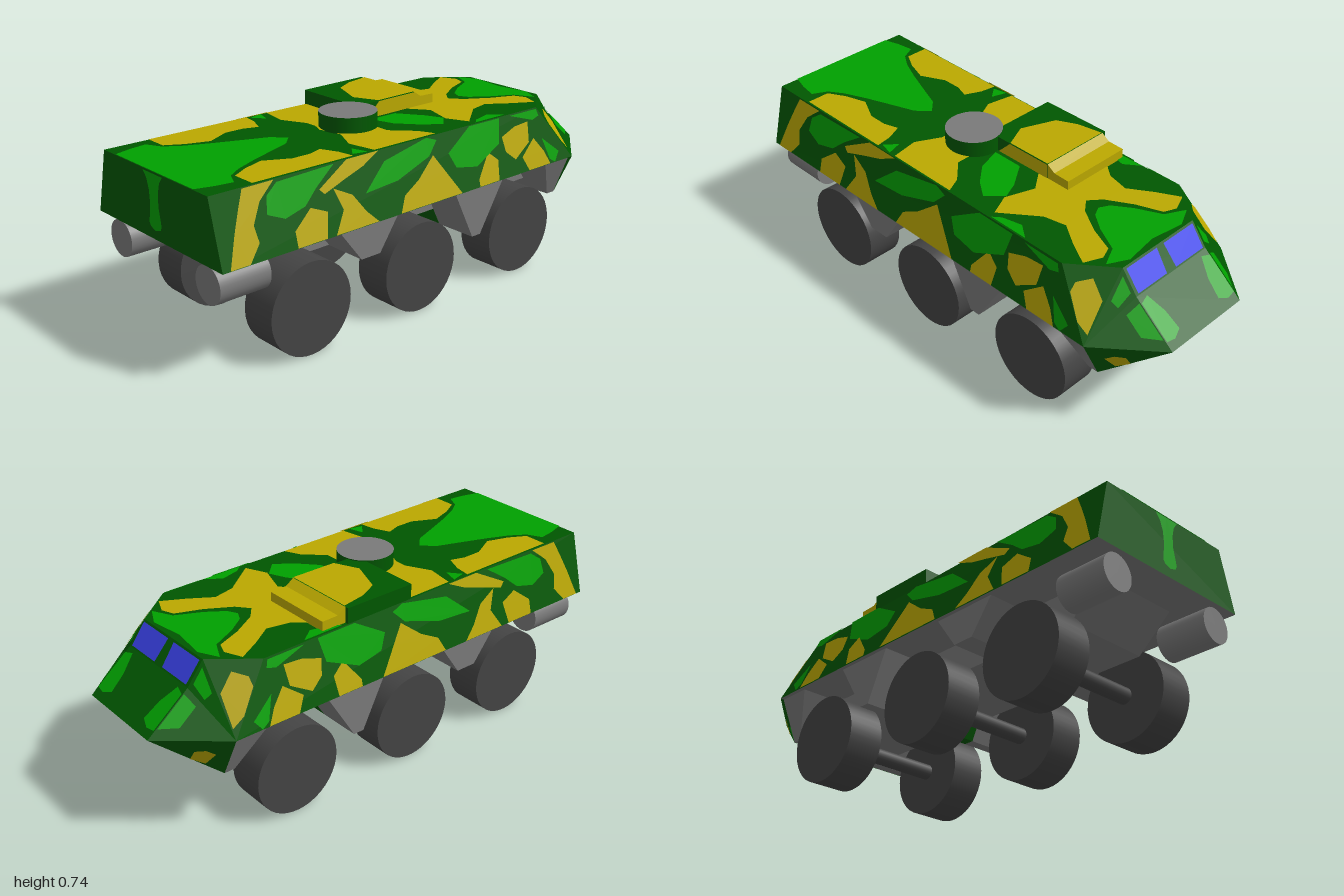
import * as THREE from 'three';

const mat = (name, color, side = THREE.FrontSide) => {
  const m = new THREE.MeshStandardMaterial({ color, side });
  m.name = name;
  return m;
};

export function createModel() {
  const model = new THREE.Group();
  model.name = 'armouredCarrier';
  const darkGreen = mat('dark green', 0x005700, THREE.DoubleSide);
  const brightGreen = mat('bright green', 0x00a000, THREE.DoubleSide);
  const sand = mat('sand yellow', 0xbba800, THREE.DoubleSide);
  const grey = mat('grey metal', 0x7a7a7a, THREE.DoubleSide);
  const rubber = mat('tyre', 0x444444);
  const glass = mat('blue glass', 0x3c44f0, THREE.DoubleSide);

  const add = (name, geo, material, parent = model) => {
    const mesh = new THREE.Mesh(geo, material);
    mesh.name = name;
    parent.add(mesh);
    return mesh;
  };
  const V = (p) => new THREE.Vector3(...p);
  const flip = ([x, y, z]) => [-x, y, z];

  // Flat-faced surface from polygons, each split as a fan
  const faces = (polys) => {
    const pos = [];
    for (const p of polys)
      for (let i = 1; i < p.length - 1; i++) pos.push(...p[0], ...p[i], ...p[i + 1]);
    const g = new THREE.BufferGeometry();
    g.setAttribute('position', new THREE.Float32BufferAttribute(pos, 3));
    g.computeVertexNormals();
    return g;
  };
  // A polygon and its mirror image
  const both = (p) => [p, p.map(flip).reverse()];

  // Side profile of [z, y] points, extruded between two x positions
  const profile = (pts, x0, x1) => {
    const s = new THREE.Shape(pts.map(([z, y]) => new THREE.Vector2(z, y)));
    return new THREE.ExtrudeGeometry(s, { depth: x1 - x0, bevelEnabled: false })
      .rotateY(-Math.PI / 2).translate(x1, 0, 0);
  };

  // Key corners of the hull on the +x side
  const rearLow = [0.385, 0.44, 1], rearTop = [0.32, 0.69, 1];
  const shoulder = [0.32, 0.672, -0.6], brow = [0.19, 0.67, -0.76];
  const sill = [0.19, 0.582, -0.828], nose = [0.19, 0.44, -1];
  const cheek = [0.385, 0.44, -0.77], chin = [0.3, 0.262, -0.77];

  // Upper hull and nose
  add('hull', faces([
    [rearLow, rearTop, flip(rearTop), flip(rearLow)],
    [rearTop, shoulder, brow, flip(brow), flip(shoulder), flip(rearTop)],
    [brow, sill, flip(sill), flip(brow)],
    [sill, nose, flip(nose), flip(sill)],
    [nose, chin, flip(chin), flip(nose)],
    ...both([rearLow, cheek, shoulder, rearTop]),
    ...both([cheek, brow, shoulder]),
    ...both([cheek, sill, brow]),
    ...both([cheek, nose, sill]),
    ...both([cheek, chin, nose]),
  ]), darkGreen);
  add('hullUnderside', faces([[rearLow, flip(rearLow), flip(cheek), cheek]]), grey);

  // Belly
  add('belly', profile([[0.85, 0.438], [0.7, 0.31], [-0.75, 0.31], [-0.75, 0.438]], -0.19, 0.19), grey);

  // Wedges between the wheel wells
  const wedges = [
    [[0.49, 0.438], [0.39, 0.308], [0.3, 0.308], [0.21, 0.438]],
    [[-0.09, 0.438], [-0.19, 0.235], [-0.235, 0.235], [-0.36, 0.438]],
  ];
  for (const w of wedges) {
    add('wellWedge', profile(w, 0.19, 0.37), grey);
    add('wellWedge', profile(w, -0.37, -0.19), grey);
  }
  add('wedgeCentre', profile(wedges[1], -0.189, 0.189), darkGreen);

  // Front wedge narrowing down to the chin
  const wedgeFront = profile([[-0.62, 0.438], [-0.727, 0.262], [-0.769, 0.262], [-0.769, 0.438]], -0.37, 0.37);
  const wp = wedgeFront.attributes.position;
  for (let i = 0; i < wp.count; i++) if (wp.getY(i) < 0.3) wp.setX(i, Math.sign(wp.getX(i)) * 0.3);
  wedgeFront.computeVertexNormals();
  add('frontWedge', wedgeFront, grey);

  // Wheels and axles
  for (const z of [0.61, 0.075, -0.488]) {
    for (const s of [-1, 1])
      add('wheel', new THREE.CylinderGeometry(0.18, 0.18, 0.153, 40).rotateZ(Math.PI / 2).translate(s * 0.278, 0.18, z), rubber);
    add('axle', new THREE.CylinderGeometry(0.033, 0.033, 0.42, 20).rotateZ(Math.PI / 2).translate(0, 0.182, z), rubber);
  }

  // Exhaust drums
  for (const s of [-1, 1])
    add('exhaust', new THREE.CylinderGeometry(0.072, 0.072, 0.21, 32).rotateX(Math.PI / 2).translate(s * 0.273, 0.36, 0.88), grey);

  // Turret ring with a grey lid
  add('turret', new THREE.CylinderGeometry(0.113, 0.113, 0.07, 40).translate(0.022, 0.709, 0.148), [darkGreen, grey, grey]);

  // Raised roof hatch with a stepped front
  add('hatch', profile([[0.08, 0.67], [0.08, 0.74], [-0.225, 0.74], [-0.225, 0.67]], -0.32, 0), darkGreen);
  add('hatchStep', profile([[-0.225, 0.67], [-0.225, 0.74], [-0.26, 0.717], [-0.33, 0.715], [-0.33, 0.67]], -0.305, 0), sand);

  // Thin painted patch: the outline is projected on the plane of three corners.
  // axis 'x' reads [z, y], axis 'y' reads [x, z], axis 'z' reads [x, y].
  const patch = (name, material, axis, corners, outline, mirror = true) => {
    const plane = new THREE.Plane().setFromCoplanarPoints(...corners.map(V));
    if (plane.distanceToPoint(new THREE.Vector3(0, 0.5, 0)) > 0) plane.negate();
    const n = plane.normal;
    const g = new THREE.ShapeGeometry(new THREE.Shape(outline.map((p) => new THREE.Vector2(...p))));
    const pos = g.attributes.position;
    for (let i = 0; i < pos.count; i++) {
      const a = pos.getX(i), b = pos.getY(i);
      const p = axis === 'x' ? V([0, b, a]) : axis === 'y' ? V([a, 0, b]) : V([a, b, 0]);
      p[axis] = -(plane.constant + n.dot(p)) / n[axis];
      p.addScaledVector(n, 0.003);
      pos.setXYZ(i, p.x, p.y, p.z);
    }
    g.computeVertexNormals();
    add(name, g, material);
    if (!mirror) return;
    const m = g.clone().scale(-1, 1, 1);
    m.setIndex([...m.index.array].reverse());
    m.computeVertexNormals();
    add(name, m, material);
  };

  // Camouflage on the sides
  const side = [rearLow, rearTop, cheek];
  const low = 0.442;
  for (const o of [
    [[0.87, 0.685], [0.74, 0.685], [0.81, 0.63], [0.85, 0.56], [0.84, 0.5], [0.89, low], [0.97, low], [0.93, 0.55], [0.9, 0.62]],
    [[0.56, 0.61], [0.42, 0.683], [0.27, 0.682], [0.35, 0.645], [0.44, 0.62], [0.54, 0.59]],
    [[0.69, 0.5], [0.61, 0.56], [0.54, 0.53], [0.56, low], [0.69, low]],
    [[0.5, 0.6], [0.42, 0.56], [0.37, 0.49], [0.32, low], [0.52, low], [0.47, 0.52]],
    [[0.18, 0.5], [0.1, 0.54], [0.01, 0.61], [-0.04, 0.54], [-0.11, low], [0.21, low]],
    [[-0.21, 0.47], [-0.28, 0.56], [-0.33, 0.52], [-0.32, low], [-0.21, low]],
    [[-0.37, 0.6], [-0.45, 0.625], [-0.53, 0.63], [-0.52, 0.55], [-0.43, 0.5], [-0.38, 0.54]],
    [[-0.47, 0.5], [-0.55, 0.56], [-0.6, 0.5], [-0.63, low], [-0.5, low]],
  ]) patch('sideSandPatch', sand, 'x', side, o);
  for (const o of [
    [[0.73, 0.675], [0.48, 0.68], [0.57, 0.62], [0.63, 0.57], [0.72, 0.55], [0.79, 0.58], [0.78, 0.64]],
    [[0.36, 0.55], [0.25, 0.64], [0.03, 0.678], [-0.02, 0.66], [0.03, 0.61], [0.2, 0.56]],
    [[-0.07, 0.6], [-0.2, 0.675], [-0.37, 0.673], [-0.35, 0.58], [-0.21, 0.52], [-0.1, 0.54]],
    [[-0.43, 0.67], [-0.59, 0.668], [-0.6, 0.64], [-0.56, 0.63]],
    [[-0.6, 0.55], [-0.69, 0.48], [-0.66, low], [-0.63, 0.46]],
  ]) patch('sideGreenPatch', brightGreen, 'x', side, o);

  // Camouflage on the roof
  const roof = [rearTop, flip(rearTop), brow];
  const roofPatch = (m, o, mirror) => patch('roofPatch', m, 'y', roof, o, mirror);
  roofPatch(brightGreen, [[0, 0.42], [0.05, 0.47], [0.08, 0.55], [0.13, 0.68], [0.17, 0.77], [0.21, 0.83], [0.27, 0.86], [0.26, 0.93], [0.24, 1], [0, 1]]);
  roofPatch(sand, [[0.18, 0.42], [0.25, 0.39], [0.315, 0.38], [0.315, 0.82], [0.22, 0.82], [0.18, 0.75], [0.15, 0.66], [0.2, 0.56], [0.2, 0.48]]);
  roofPatch(sand, [[0, 0.08], [0.315, 0.08], [0.315, 0.28], [0.2, 0.3], [0.1, 0.25], [0.05, 0.25], [0, 0.27]]);
  roofPatch(sand, [[0.315, -0.03], [0.25, 0], [0.15, 0.1], [0.315, 0.1]], false);
  roofPatch(brightGreen, [[0.02, -0.1], [0.12, -0.17], [0.19, -0.2], [0.25, -0.14], [0.2, -0.07], [0.12, 0], [0.02, 0.03]], false);
  roofPatch(brightGreen, [[0.315, 0.31], [0.25, 0.33], [0.3, 0.37]]);
  roofPatch(brightGreen, [[0.315, -0.42], [0.27, -0.36], [0.29, -0.28], [0.315, -0.25]]);
  roofPatch(sand, [[0, -0.42], [0.05, -0.46], [0.11, -0.56], [0.15, -0.66], [0.2, -0.68], [0.27, -0.65], [0.22, -0.56], [0.16, -0.47], [0.18, -0.38], [0.29, -0.24], [0.2, -0.2], [0.08, -0.24], [0, -0.18]]);
  roofPatch(brightGreen, [[0, -0.73], [0.14, -0.75], [0.22, -0.71], [0.14, -0.67], [0.09, -0.57], [0.04, -0.5], [0, -0.48]]);

  // Camouflage on the nose and rear plate
  patch('deckPatch', brightGreen, 'y', [sill, nose, flip(nose)], [[0.11, -0.96], [0.15, -0.975], [0.188, -0.97], [0.188, -0.85], [0.15, -0.84], [0.12, -0.9]]);
  patch('cheekPatch', brightGreen, 'y', [cheek, nose, sill], [[0.193, -0.96], [0.24, -0.9], [0.24, -0.83], [0.193, -0.845]]);
  patch('cheekPatch', brightGreen, 'y', [cheek, sill, brow], [[0.2, -0.81], [0.25, -0.8], [0.26, -0.775], [0.2, -0.77]]);
  patch('cheekPatch', sand, 'y', [cheek, brow, shoulder], [[0.28, -0.755], [0.36, -0.764], [0.365, -0.72], [0.34, -0.66], [0.315, -0.66], [0.27, -0.7]]);
  patch('chinPatch', sand, 'x', [cheek, chin, nose], [[-0.81, 0.37], [-0.84, 0.39], [-0.87, 0.385], [-0.875, 0.345], [-0.83, 0.32]]);
  for (const [x, y] of [[0.17, 0.375], [0.05, 0.395]])
    patch('noseUnderPatch', sand, 'z', [nose, chin, flip(chin)], [[x - 0.03, y], [x - 0.01, y - 0.03], [x + 0.03, y - 0.02], [x + 0.025, y + 0.025], [x - 0.02, y + 0.03]]);
  patch('rearPatch', brightGreen, 'z', [rearLow, rearTop, flip(rearTop)], [[0, 0.475], [0.03, 0.485], [0.038, 0.5], [0.026, 0.57], [0.028, 0.62], [0.04, 0.66], [0.06, 0.685], [0, 0.685]]);

  // Sand paint on the hatch top and its inner side
  add('hatchTopPaint', faces([[[0, 0.743, -0.225], [-0.3, 0.743, -0.225], [-0.28, 0.743, -0.12], [-0.24, 0.743, -0.04], [-0.1, 0.743, 0.015], [0, 0.743, -0.03]]]), sand);
  add('hatchSidePaint', faces([[[0.003, 0.68, 0.03], [0.003, 0.68, -0.225], [0.003, 0.74, -0.225], [0.003, 0.74, -0.03]]]), sand);

  // Windscreens
  patch('windscreen', glass, 'y', [brow, sill, flip(sill)], [[0.025, -0.824], [0.178, -0.824], [0.18, -0.765], [0.018, -0.765]]);

  return model;
}
